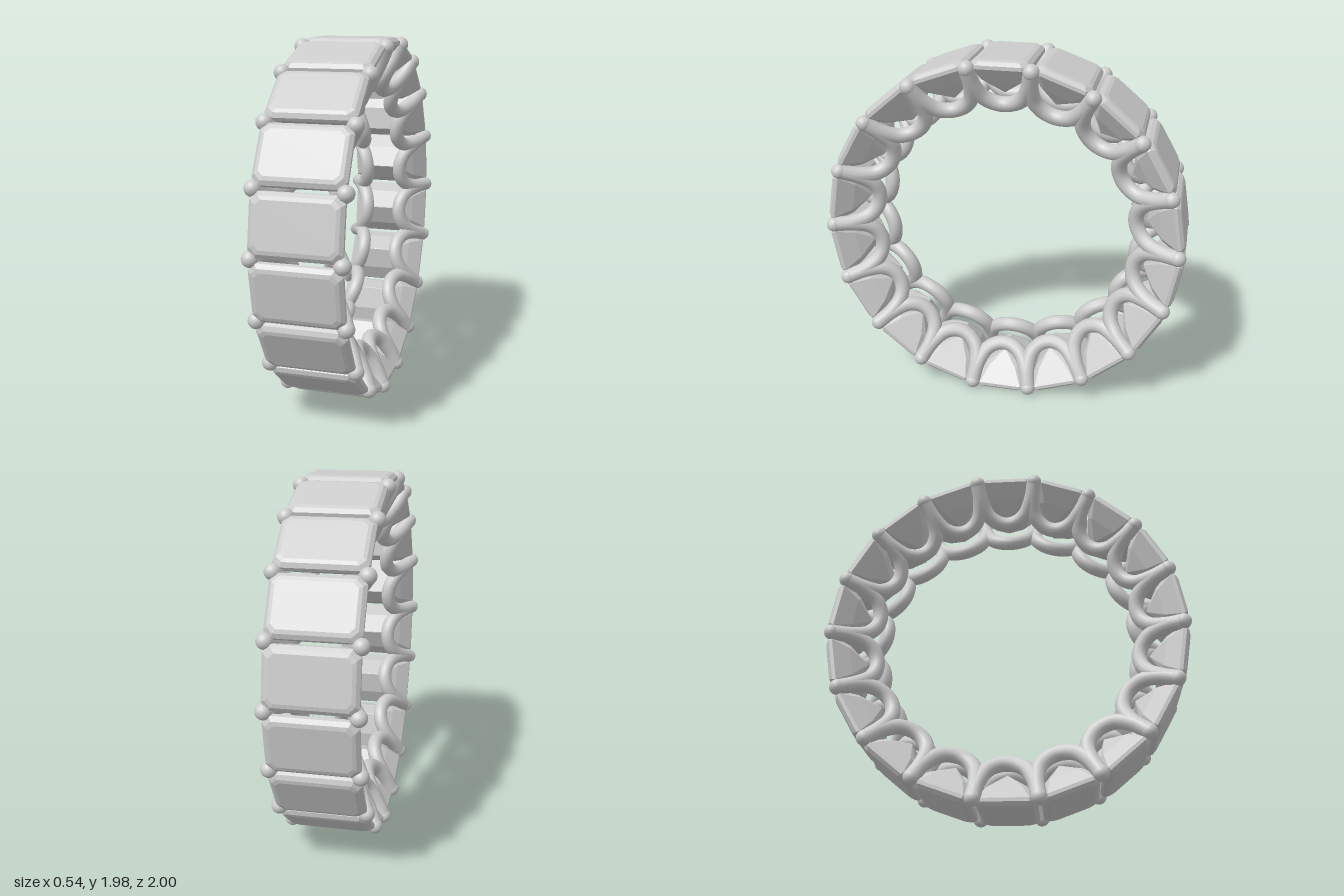
import * as THREE from 'three';

const COUNT = 18;
const STEP = (Math.PI * 2) / COUNT;

// Cut-corner rectangle, counter-clockwise seen from outside (+y)
function octagon([a, b, c, y]) {
  return [
    [a, b - c], [a, -b + c], [a - c, -b], [-a + c, -b],
    [-a, -b + c], [-a, b - c], [-a + c, b], [a - c, b],
  ].map(([x, z]) => [x, y, z]);
}

// Step-cut stone lofted through octagons: [half length, half width, corner cut, radius]
function gemGeometry() {
  const loops = [
    [0.198, 0.118, 0.026, 0.988],
    [0.216, 0.138, 0.032, 0.982],
    [0.234, 0.157, 0.038, 0.964],
    [0.234, 0.159, 0.038, 0.945],
    [0.165, 0.106, 0.028, 0.865],
    [0.08, 0.002, 0.001, 0.79],
  ].map(octagon);
  const pos = [];
  const tri = (a, b, c) => pos.push(...a, ...b, ...c);
  for (let k = 0; k < loops.length - 1; k++) {
    const u = loops[k], l = loops[k + 1];
    for (let i = 0; i < 8; i++) {
      const j = (i + 1) % 8;
      tri(u[i], l[i], l[j]);
      tri(u[i], l[j], u[j]);
    }
  }
  const top = loops[0], end = loops[loops.length - 1];
  for (let i = 1; i < 7; i++) {
    tri(top[0], top[i], top[i + 1]);
    tri(end[0], end[i + 1], end[i]);
  }
  const geo = new THREE.BufferGeometry();
  geo.setAttribute('position', new THREE.Float32BufferAttribute(pos, 3));
  geo.computeVertexNormals();
  return geo;
}

// U-shaped wire running between two prong tips, leaning inward under the stone
function wireGeometry(side) {
  const half = [[0.226, 0.944, 0.166], [0.185, 0.855, 0.147], [0.137, 0.778, 0.107], [0.112, 0.744, 0.056]];
  const points = [
    ...half,
    [0.104, 0.733, 0],
    ...half.slice().reverse().map(([x, y, z]) => [x, y, -z]),
  ].map(([x, y, z]) => new THREE.Vector3(x * side, y, z));
  return new THREE.TubeGeometry(new THREE.CatmullRomCurve3(points), 36, 0.042, 12);
}

export function createModel() {
  const ring = new THREE.Group();
  ring.name = 'eternityRing';
  const stoneMat = new THREE.MeshStandardMaterial({ color: 0xcccccc, flatShading: true });
  const metalMat = new THREE.MeshStandardMaterial({ color: 0xcccccc });
  const gem = gemGeometry();
  const tip = new THREE.SphereGeometry(0.043, 16, 12);
  const wires = { 1: wireGeometry(1), [-1]: wireGeometry(-1) };

  for (let i = 0; i < COUNT; i++) {
    const setting = new THREE.Group();
    setting.name = `setting${i + 1}`;
    setting.rotation.x = i * STEP;
    setting.position.y = 1;

    const stone = new THREE.Mesh(gem, stoneMat);
    stone.name = 'stone';
    setting.add(stone);

    for (const side of [1, -1]) {
      const label = side > 0 ? 'left' : 'right';
      const wire = new THREE.Mesh(wires[side], metalMat);
      wire.name = `${label}Wire`;
      // Rounded prong tip shared with the neighbouring wire
      const ball = new THREE.Mesh(tip, metalMat);
      ball.name = `${label}ProngTip`;
      ball.position.set(0.227 * side, 0.957 * Math.cos(STEP / 2), 0.957 * Math.sin(STEP / 2));
      setting.add(wire, ball);
    }
    ring.add(setting);
  }
  return ring;
}
